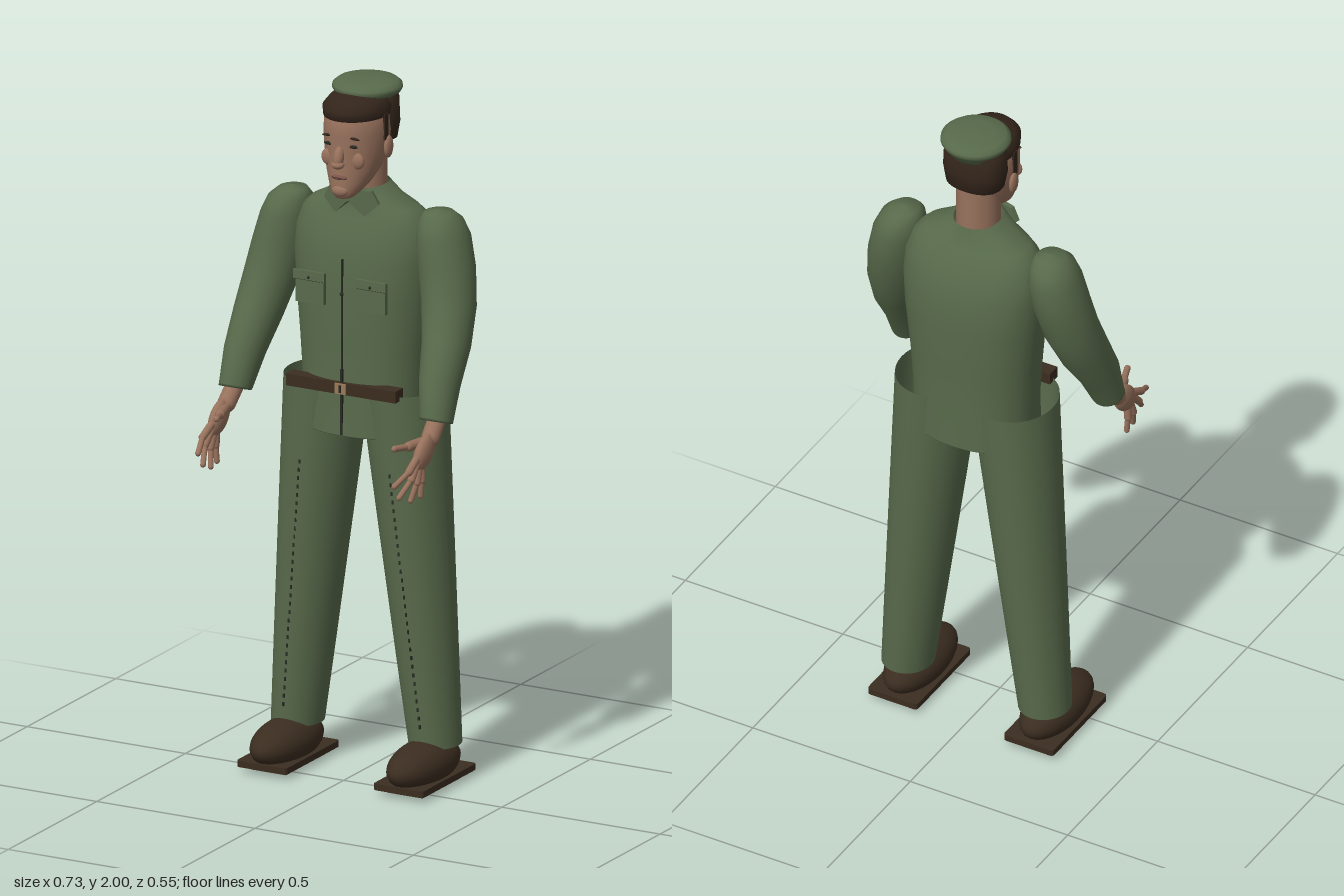
import * as THREE from 'three';

const paint = (name, color) => {
  const m = new THREE.MeshStandardMaterial({ color });
  m.name = name;
  return m;
};

// Smooth skin through elliptical rings [x, y, z, rx, rz, tilt], listed bottom to top
function loft(rings, seg = 36, power = 2) {
  const pos = [], idx = [];
  const bulge = v => Math.sign(v) * Math.abs(v) ** (2 / power);
  rings.forEach(([x, y, z, rx, rz, tilt = 0], r) => {
    for (let i = 0; i < seg; i++) {
      const a = (i / seg) * Math.PI * 2, s = rz * bulge(Math.sin(a));
      pos.push(x + rx * bulge(Math.cos(a)), y + s * Math.sin(tilt), z + s * Math.cos(tilt));
      if (r === rings.length - 1) continue;
      const p = r * seg + i, q = r * seg + (i + 1) % seg;
      idx.push(p, p + seg, q, q, p + seg, q + seg);
    }
  });
  const g = new THREE.BufferGeometry();
  g.setAttribute('position', new THREE.Float32BufferAttribute(pos, 3));
  g.setIndex(idx);
  g.computeVertexNormals();
  return g;
}

export function createModel() {
  const root = new THREE.Group();
  const green = paint('uniform green', 0x586a4b);
  const greenOpen = green.clone();
  greenOpen.name = 'uniform green';
  greenOpen.side = THREE.DoubleSide;
  const skin = paint('skin', 0x97715c);
  const leather = paint('brown leather', 0x3b2d20);
  const hairMat = paint('hair brown', 0x33251b);
  const dark = paint('dark thread', 0x262a22);
  const brass = paint('brass', 0x9a7a58);
  const lipMat = paint('lip', 0x7c5448);

  const add = (name, geo, mat, x = 0, y = 0, z = 0) => {
    const m = new THREE.Mesh(geo, mat);
    m.name = name;
    m.position.set(x, y, z);
    root.add(m);
    return m;
  };
  const box = (name, mat, w, h, d, x, y, z) => add(name, new THREE.BoxGeometry(w, h, d), mat, x, y, z);
  const ball = (name, mat, rx, ry, rz, x, y, z) => {
    const m = add(name, new THREE.SphereGeometry(1, 28, 18), mat, x, y, z);
    m.scale.set(rx, ry, rz);
    return m;
  };
  const limb = (name, mat, a, b, r) => {
    const p = new THREE.Vector3(...a), d = new THREE.Vector3(...b).sub(p);
    const m = add(name, new THREE.CapsuleGeometry(r, d.length(), 6, 12), mat);
    m.position.copy(p).addScaledVector(d, 0.5);
    m.quaternion.setFromUnitVectors(new THREE.Vector3(0, 1, 0), d.normalize());
  };

  // Tunic, closed under the hem
  add('tunic', loft([
    [0, 1.0, -0.127, 0.001, 0.001], [0, 1.0, -0.127, 0.178, 0.139], [0, 1.002, -0.127, 0.18, 0.14],
    [0, 1.14, -0.13, 0.182, 0.136], [0, 1.25, -0.131, 0.19, 0.138], [0, 1.4, -0.135, 0.205, 0.143],
    [0, 1.5, -0.134, 0.212, 0.138], [0, 1.57, -0.132, 0.208, 0.122], [0, 1.62, -0.13, 0.187, 0.102],
    [0, 1.645, -0.126, 0.16, 0.09], [0, 1.67, -0.122, 0.11, 0.082], [0, 1.705, -0.118, 0.066, 0.076],
  ], 48, 2.25), greenOpen);
  box('placket', dark, 0.007, 0.19, 0.008, 0, 1.098, 0.011);
  box('placketUpper', dark, 0.004, 0.32, 0.006, 0, 1.35, 0.007);
  ball('chestButton', dark, 0.006, 0.006, 0.004, 0, 1.41, 0.011);

  // Belt
  box('belt', leather, 0.345, 0.034, 0.042, 0, 1.138, -0.005);
  box('buckle', brass, 0.034, 0.03, 0.006, 0, 1.138, 0.018);
  box('buckleBar', dark, 0.007, 0.022, 0.003, 0, 1.138, 0.022);

  // Neck and head
  add('neck', new THREE.CylinderGeometry(0.062, 0.062, 0.2, 28), skin, 0, 1.74, -0.12);
  add('head', loft([
    [0, 1.687, -0.005, 0.001, 0.001], [0, 1.69, -0.005, 0.025, 0.028], [0, 1.705, -0.015, 0.042, 0.045],
    [0, 1.73, -0.04, 0.058, 0.068], [0, 1.765, -0.06, 0.074, 0.087], [0, 1.82, -0.077, 0.087, 0.101],
    [0, 1.87, -0.08, 0.091, 0.107], [0, 1.92, -0.08, 0.087, 0.105], [0, 1.955, -0.085, 0.06, 0.08],
    [0, 1.965, -0.085, 0.001, 0.001],
  ]), skin);
  const nose = ball('nose', skin, 0.015, 0.032, 0.016, 0, 1.81, 0.028);
  nose.rotation.x = -0.25;
  ball('noseTip', skin, 0.019, 0.012, 0.016, 0, 1.79, 0.033);
  ball('lips', lipMat, 0.025, 0.007, 0.01, 0, 1.752, 0.025);
  ball('mouthLine', dark, 0.023, 0.0015, 0.01, 0, 1.753, 0.026);
  ball('chin', skin, 0.026, 0.018, 0.016, 0, 1.712, 0.018);

  // Hair: crown with fringe, and a patch behind the ears
  add('hairCrown', loft([
    [0, 1.912, -0.08, 0.085, 0.1], [0, 1.914, -0.08, 0.09, 0.111], [0, 1.94, -0.08, 0.092, 0.114],
    [0, 1.962, -0.085, 0.076, 0.098], [0, 1.975, -0.095, 0.04, 0.05], [0, 1.977, -0.095, 0.001, 0.001],
  ]), hairMat);
  add('hairBack', loft([
    [0, 1.822, -0.135, 0.06, 0.04], [0, 1.832, -0.137, 0.084, 0.063], [0, 1.88, -0.137, 0.093, 0.066],
    [0, 1.95, -0.137, 0.09, 0.064], [0, 1.965, -0.13, 0.05, 0.04],
  ], 36, 2.3), hairMat);

  // Cap
  const capProfile = [[0, 1.938], [0.076, 1.938], [0.08, 1.956], [0.092, 1.962], [0.098, 1.972],
    [0.097, 1.982], [0.084, 1.993], [0.05, 1.998], [0, 2.0]].map(p => new THREE.Vector2(...p));
  add('cap', new THREE.LatheGeometry(capProfile, 40), green, 0, 0, -0.135);

  for (const s of [-1, 1]) {
    // Face details
    ball('eye', dark, 0.015, 0.005, 0.005, s * 0.038, 1.843, 0.0155);
    const brow = ball('eyebrow', hairMat, 0.019, 0.004, 0.005, s * 0.04, 1.867, 0.0155);
    brow.rotation.z = -s * 0.1;
    ball('cheek', skin, 0.022, 0.024, 0.012, s * 0.045, 1.8, 0.004);
    ball('ear', skin, 0.01, 0.032, 0.02, s * 0.093, 1.825, -0.088);
    box('sideburn', hairMat, 0.008, 0.075, 0.02, s * 0.089, 1.885, -0.077);

    // Collar wing
    const wing = new THREE.Shape([[0, 1.668], [0.025, 1.703], [0.065, 1.703], [0.086, 1.666], [0.045, 1.628]]
      .map(([x, y]) => new THREE.Vector2(s * x, y)));
    const collar = add('collar', new THREE.ExtrudeGeometry(wing, { depth: 0.014, bevelEnabled: false }), green, 0, 0, -0.036);
    collar.rotation.y = s * 0.25;

    // Chest pocket with flap
    box('pocket', green, 0.088, 0.088, 0.014, s * 0.097, 1.415, 0.012);
    box('pocketFlap', green, 0.098, 0.026, 0.008, s * 0.097, 1.452, 0.021);
    box('pocketSeam', dark, 0.09, 0.003, 0.003, s * 0.097, 1.438, 0.0195);
    ball('pocketButton', dark, 0.004, 0.004, 0.004, s * 0.097, 1.447, 0.026);

    // Sleeve
    add('sleeve', loft([
      [s * 0.318, 1.1, 0.045, 0.001, 0.001, 0.32], [s * 0.318, 1.1, 0.045, 0.046, 0.047, 0.32],
      [s * 0.317, 1.106, 0.042, 0.047, 0.048, 0.33], [s * 0.308, 1.2, 0.008, 0.057, 0.063, 0.4],
      [s * 0.297, 1.3, -0.05, 0.068, 0.074, 0.4], [s * 0.28, 1.4, -0.094, 0.077, 0.08, 0.25],
      [s * 0.261, 1.5, -0.117, 0.079, 0.085, 0.1], [s * 0.246, 1.58, -0.125, 0.073, 0.086],
      [s * 0.238, 1.625, -0.125, 0.06, 0.07], [s * 0.231, 1.648, -0.125, 0.04, 0.045],
      [s * 0.228, 1.656, -0.125, 0.001, 0.001],
    ]), greenOpen);

    // Hand with spread fingers
    limb('wrist', skin, [s * 0.319, 1.11, 0.04], [s * 0.322, 1.065, 0.085], 0.026);
    const palm = ball('palm', skin, 0.021, 0.06, 0.038, s * 0.324, 1.035, 0.125);
    palm.rotation.x = -0.85;
    const fingers = [[1.025, 0.17, 0.31, 0.972, 0.268], [1.01, 0.168, 0.31, 0.932, 0.24],
      [0.998, 0.155, 0.316, 0.91, 0.185], [0.995, 0.14, 0.322, 0.913, 0.14]];
    for (const [y, z, tx, ty, tz] of fingers) {
      const mid = [s * 0.326, y * 0.55 + ty * 0.45, z * 0.55 + tz * 0.45];
      limb('finger', skin, [s * 0.324, y, z], mid, 0.011);
      limb('fingertip', skin, mid, [s * tx, ty, tz], 0.008);
    }
    limb('thumbBase', skin, [s * 0.315, 1.06, 0.1], [s * 0.298, 1.058, 0.165], 0.014);
    limb('thumb', skin, [s * 0.298, 1.058, 0.165], [s * 0.281, 1.062, 0.215], 0.009);

    // Trouser leg, open at the top
    add('trouserLeg', loft([
      [s * 0.217, 0.11, -0.13, 0.073, 0.08], [s * 0.193, 0.36, -0.129, 0.085, 0.094],
      [s * 0.157, 0.74, -0.128, 0.102, 0.115], [s * 0.12, 1.132, -0.127, 0.12, 0.133],
    ]), greenOpen);
    for (let i = 0; i < 30; i++) {
      const y = 0.9 - i * 0.025, t = (1.13 - y) / 1.02;
      box('stitch', dark, 0.005, 0.011, 0.008, s * (0.119 + 0.103 * t), y, 0.006 - 0.056 * t);
    }

    // Shoe and sole
    ball('shoe', leather, 0.077, 0.065, 0.16, s * 0.216, 0.067, -0.065);
    const sole = new THREE.Shape();
    sole.moveTo(-0.079, -0.14).lineTo(-0.079, 0.14).quadraticCurveTo(-0.079, 0.152, -0.067, 0.152)
      .lineTo(0.067, 0.152).quadraticCurveTo(0.079, 0.152, 0.079, 0.14).lineTo(0.079, -0.14)
      .quadraticCurveTo(0.079, -0.152, 0.067, -0.152).lineTo(-0.067, -0.152).quadraticCurveTo(-0.079, -0.152, -0.079, -0.14);
    const plate = add('sole', new THREE.ExtrudeGeometry(sole, { depth: 0.018, bevelEnabled: false }), leather, s * 0.216, 0.034, -0.072);
    plate.rotation.x = Math.PI / 2;
    box('soleTread', leather, 0.11, 0.018, 0.22, s * 0.216, 0.009, -0.072);
  }
  return root;
}
